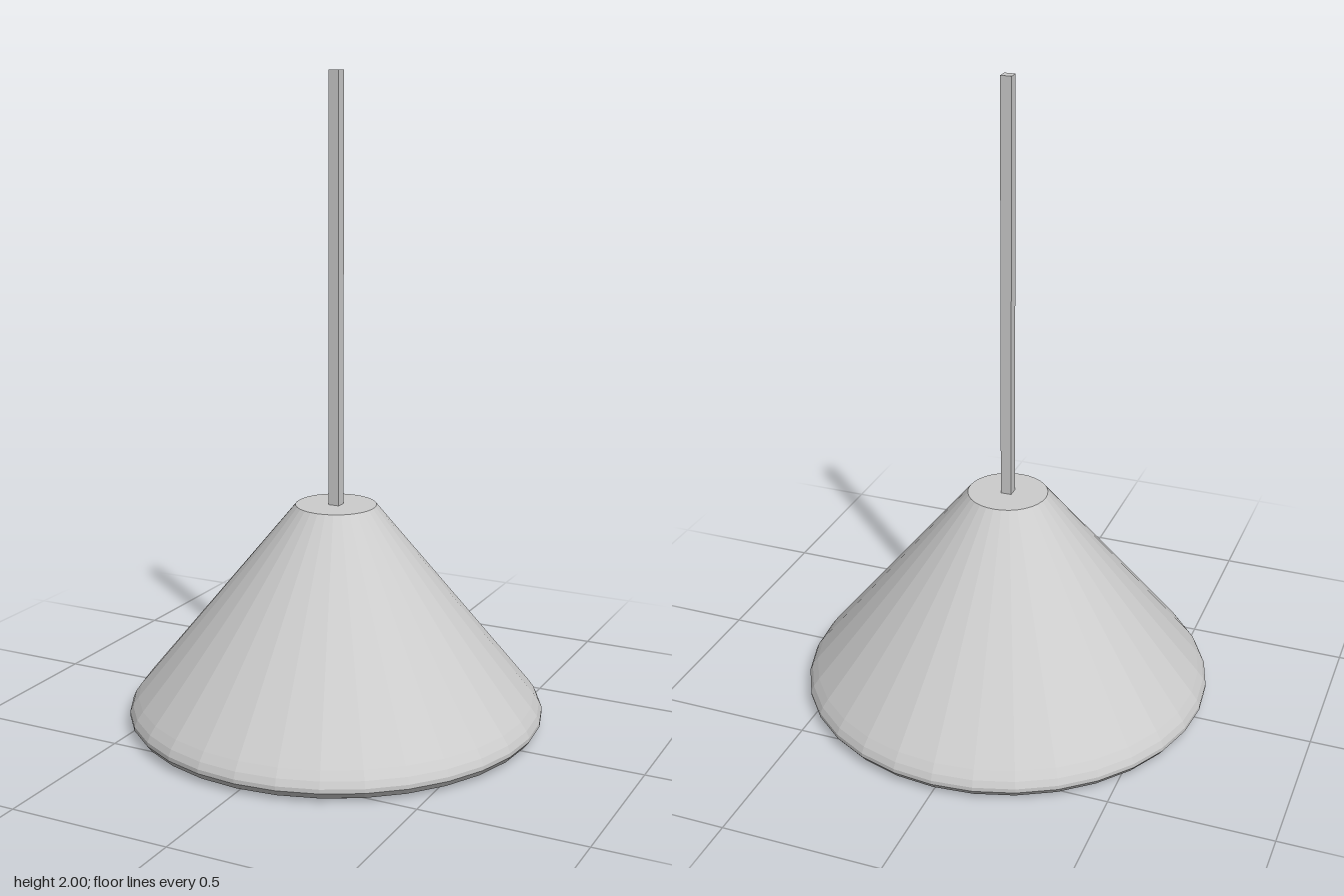
import * as THREE from 'three';

export function createModel() {
  const group = new THREE.Group();
  group.name = 'pendantLamp';

  const grey = new THREE.MeshStandardMaterial({ color: 0xcccccc, flatShading: true });
  grey.name = 'light grey';

  // Hollow shade: inner wall down, rolled rim, outer wall up, flat cap
  const profile = [
    [0, 0.62], [0.09, 0.62], [0.558, 0.003],        // inside
    [0.605, 0], [0.63, 0.012], [0.645, 0.032],      // underside of rim
    [0.645, 0.045], [0.636, 0.065], [0.618, 0.09],  // rounded shoulder
    [0.125, 0.69], [0, 0.69],                       // cone and cap
  ].map(([r, y]) => new THREE.Vector2(r, y));
  const shade = new THREE.Mesh(new THREE.LatheGeometry(profile, 32), grey);
  shade.name = 'shade';
  group.add(shade);

  // Square suspension rod
  const rodBottom = 0.68, rodTop = 2;
  const rod = new THREE.Mesh(new THREE.BoxGeometry(0.034, rodTop - rodBottom, 0.034), grey);
  rod.position.y = (rodTop + rodBottom) / 2;
  rod.name = 'rod';
  group.add(rod);

  return group;
}
